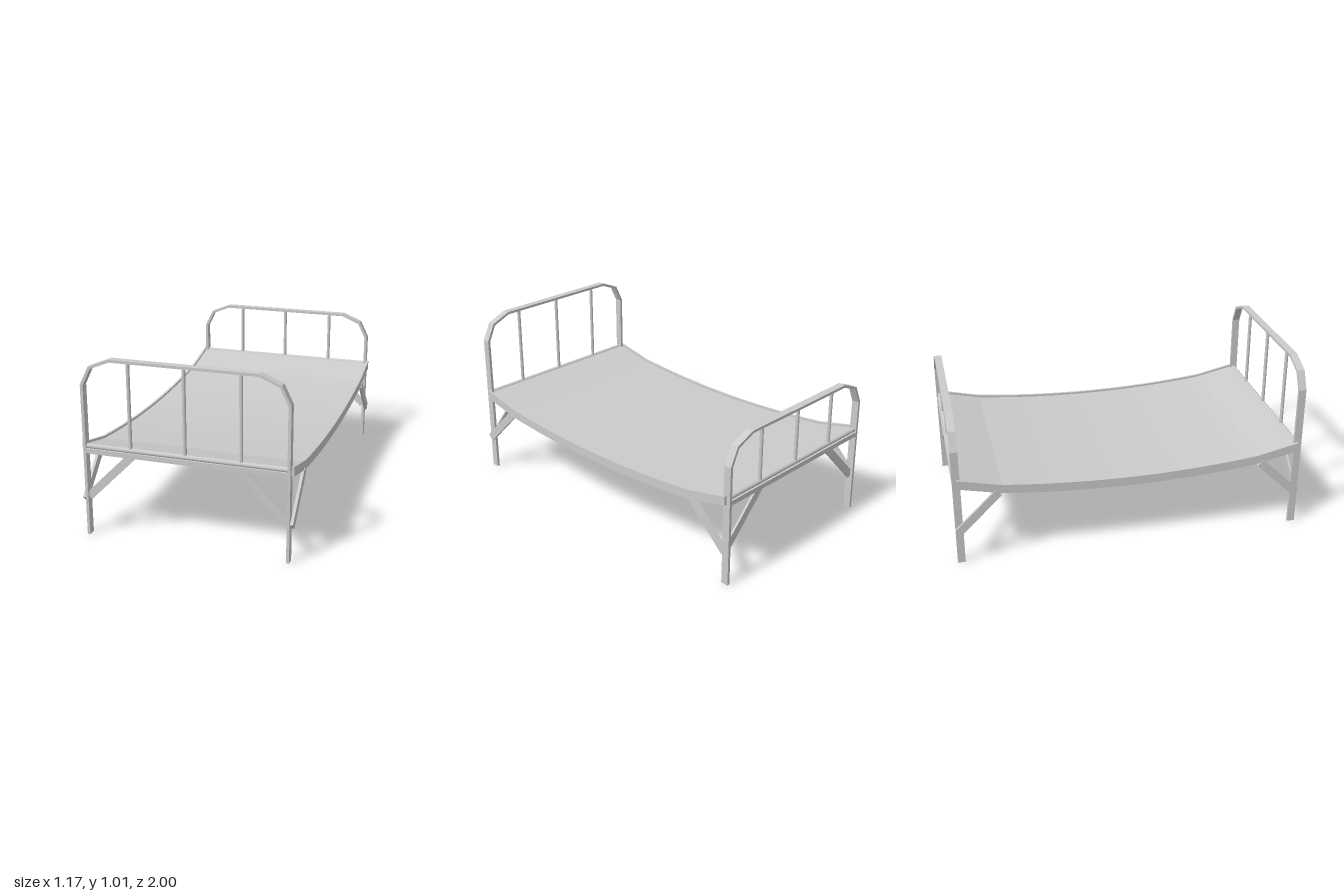
import * as THREE from 'three';

const metal = new THREE.MeshStandardMaterial({ color: 0xcccccc, flatShading: true });
const smooth = new THREE.MeshStandardMaterial({ color: 0xcccccc });

function add(parent, name, geometry, material = metal) {
  const mesh = new THREE.Mesh(geometry, material);
  mesh.name = name;
  parent.add(mesh);
  return mesh;
}

// Extrudes a closed outline of [x, y] points, centred on z = 0
function plate(points, depth) {
  const shape = new THREE.Shape(points.map(([x, y]) => new THREE.Vector2(x, y)));
  return new THREE.ExtrudeGeometry(shape, { depth, bevelEnabled: false }).translate(0, 0, -depth / 2);
}

// Straight flat bar between two points in the xy plane
function flatBar(x1, y1, x2, y2, width, depth) {
  const g = new THREE.BoxGeometry(Math.hypot(x2 - x1, y2 - y1), width, depth);
  return g.rotateZ(Math.atan2(y2 - y1, x2 - x1)).translate((x1 + x2) / 2, (y1 + y2) / 2, 0);
}

// Height of the sagging bed along its length: straight ends, curved middle
const END = 0.975, BEND = 0.73;
function sag(z) {
  const a = Math.abs(z);
  return a > BEND ? 0.45 + 0.055 * (a - BEND) / (END - BEND) : 0.408 + 0.042 * (a / BEND) ** 2;
}

// Closed side profile of the sagging strip
function sagProfile(end, low, high) {
  const zs = [-end];
  for (let i = -6; i <= 6; i++) zs.push(BEND * i / 6);
  zs.push(end);
  return [
    ...zs.map(z => [z, sag(z) + low]),
    ...zs.slice().reverse().map(z => [z, sag(z) + high]),
  ];
}

// One end of the bed: hoop with legs, spindles, rails and braces
function bedEnd(name, top) {
  const end = new THREE.Group();
  end.name = name;

  const outer = [[0.57, 0], [0.57, top - 0.15], [0.52, top - 0.048], [0.403, top]];
  const inner = [[0.554, 0], [0.554, top - 0.153], [0.509, top - 0.06], [0.4, top - 0.015]];
  const mirror = pts => pts.map(([x, y]) => [-x, y]).reverse();
  add(end, 'hoopAndLegs', plate(
    [...outer, ...mirror(outer), ...mirror(inner).reverse(), ...inner.slice().reverse()], 0.043));

  // Upright spindles
  for (const x of [-0.305, 0, 0.305]) {
    const h = top - 0.01 - 0.515;
    add(end, 'spindle', new THREE.CylinderGeometry(0.01, 0.01, h, 12).translate(x, 0.515 + h / 2, 0), smooth);
  }

  // Round cross tube above a flat cross rail
  add(end, 'crossTube', new THREE.CylinderGeometry(0.014, 0.014, 1.112, 12).rotateZ(Math.PI / 2).translate(0, 0.513, 0), smooth);
  add(end, 'crossRail', new THREE.BoxGeometry(1.112, 0.027, 0.04).translate(0, 0.4885, 0));

  // Diagonal braces between legs and cross rail
  for (const s of [-1, 1]) {
    add(end, 'endBrace', flatBar(s * 0.556, 0.221, s * 0.305, 0.475, 0.046, 0.012));
  }
  return end;
}

export function createModel() {
  const bed = new THREE.Group();
  bed.name = 'bed';

  const head = bedEnd('headEnd', 1.008);
  head.position.z = 0.977;
  const foot = bedEnd('footEnd', 0.846);
  foot.rotation.y = Math.PI;
  foot.position.z = -0.977;
  bed.add(head, foot);

  // Sagging sheet between the side rails
  add(bed, 'bedSheet', plate(sagProfile(0.965, 0.006, 0.014), 1.142).rotateY(-Math.PI / 2));

  // Curved side rails with their diagonal braces
  for (const s of [-1, 1]) {
    const side = new THREE.Group();
    side.name = s > 0 ? 'leftSide' : 'rightSide';
    add(side, 'sideRail', plate(sagProfile(END, -0.026, 0.026), 0.014).rotateY(-Math.PI / 2).translate(s * 0.577, 0, 0));
    for (const e of [-1, 1]) {
      add(side, 'sideBrace', flatBar(e * 0.982, 0.203, e * 0.752, 0.43, 0.047, 0.016)
        .rotateY(-Math.PI / 2).translate(s * 0.579, 0, 0));
    }
    bed.add(side);
  }
  return bed;
}
